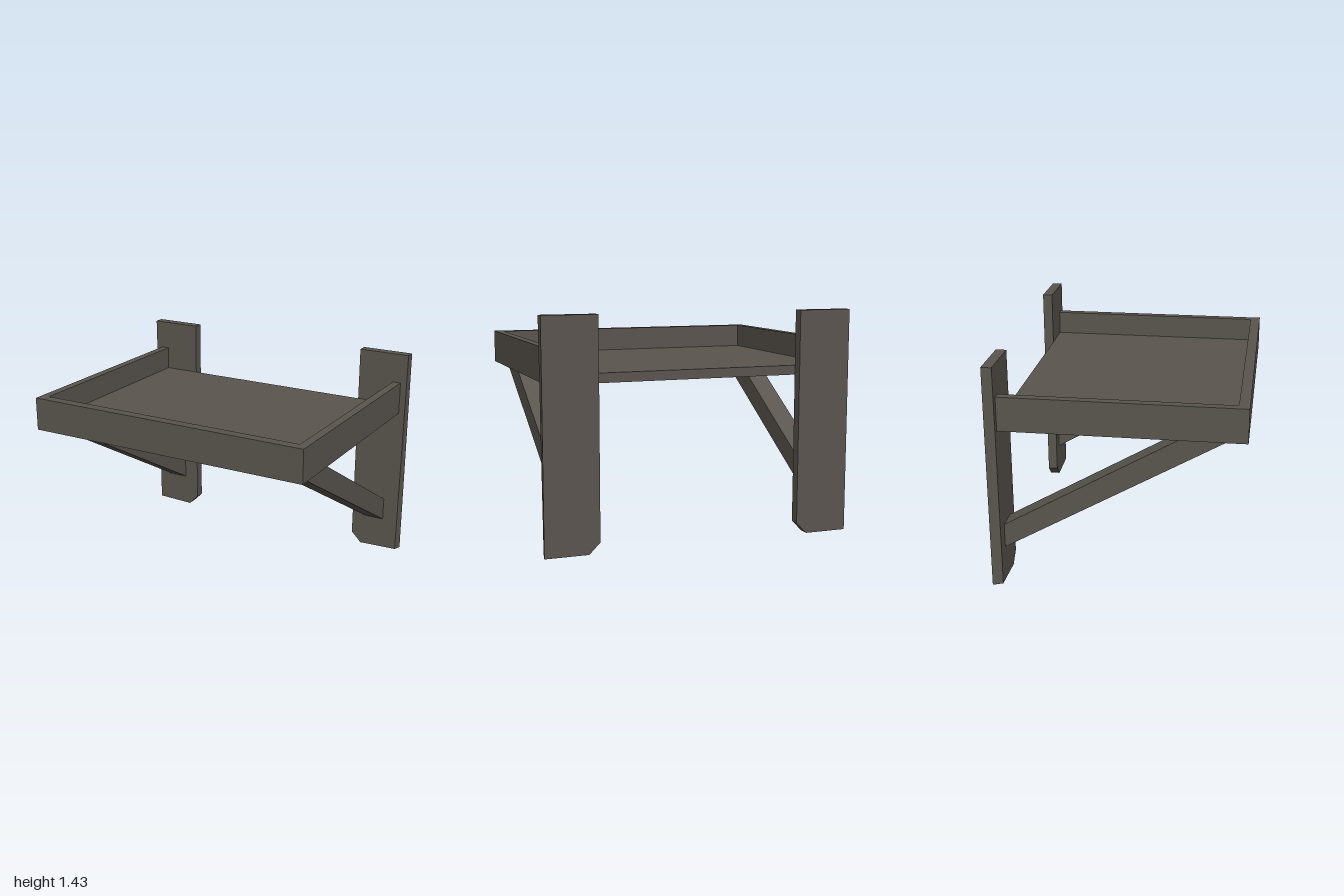
import * as THREE from 'three';

const BACK = -0.775, POST_FRONT = -0.71, FRONT = 0.775;

export function createModel() {
  const group = new THREE.Group();
  const wood = new THREE.MeshStandardMaterial({ color: 0x5a554e });
  wood.name = 'dark weathered wood';

  const add = (name, geometry) => {
    const mesh = new THREE.Mesh(geometry, wood);
    mesh.name = name;
    group.add(mesh);
  };
  // box given by its lower and upper limits on each axis
  const box = (name, [x0, x1], [y0, y1], [z0, z1]) => add(name,
    new THREE.BoxGeometry(x1 - x0, y1 - y0, z1 - z0)
      .translate((x0 + x1) / 2, (y0 + y1) / 2, (z0 + z1) / 2));
  const extrude = (points, depth) => new THREE.ExtrudeGeometry(
    new THREE.Shape(points.map(([x, y]) => new THREE.Vector2(x, y))),
    { depth, bevelEnabled: false });

  // tray: floor, front wall and side walls, open at the back
  box('trayFloor', [-0.9, 0.9], [1.02, 1.08], [POST_FRONT, 0.71]);
  box('trayFrontWall', [-0.955, 0.955], [1.02, 1.235], [0.71, FRONT]);
  box('trayLeftWall', [0.9, 0.955], [1.02, 1.235], [POST_FRONT, 0.71]);
  box('trayRightWall', [-0.955, -0.9], [1.02, 1.235], [POST_FRONT, 0.71]);

  for (const [side, s] of [['left', 1], ['right', -1]]) {
    // upright plank with a cut inner bottom corner
    const post = extrude([[1, 0], [1, 1.43], [0.655, 1.43], [0.655, 0.07], [0.725, 0]]
      .map(([x, y]) => [s * x, y]), POST_FRONT - BACK).translate(0, 0, BACK);
    // slightly worn outer bottom corner on the front face
    const p = post.attributes.position;
    for (let i = 0; i < p.count; i++) {
      if (p.getX(i) * s > 0.99 && p.getY(i) < 0.01 && p.getZ(i) > -0.74) {
        p.setXY(i, s * 0.988, 0.009);
      }
    }
    post.computeVertexNormals();
    add(side + 'Post', post);

    // diagonal brace, profile drawn in z and y
    const brace = extrude([[0.68, 1.02], [0.4, 1.02], [POST_FRONT, 0.375], [POST_FRONT, 0.22]], 0.14)
      .rotateY(-Math.PI / 2)
      .translate(s > 0 ? 0.885 : -0.76, 0, 0);
    add(side + 'Brace', brace);
  }
  return group;
}
